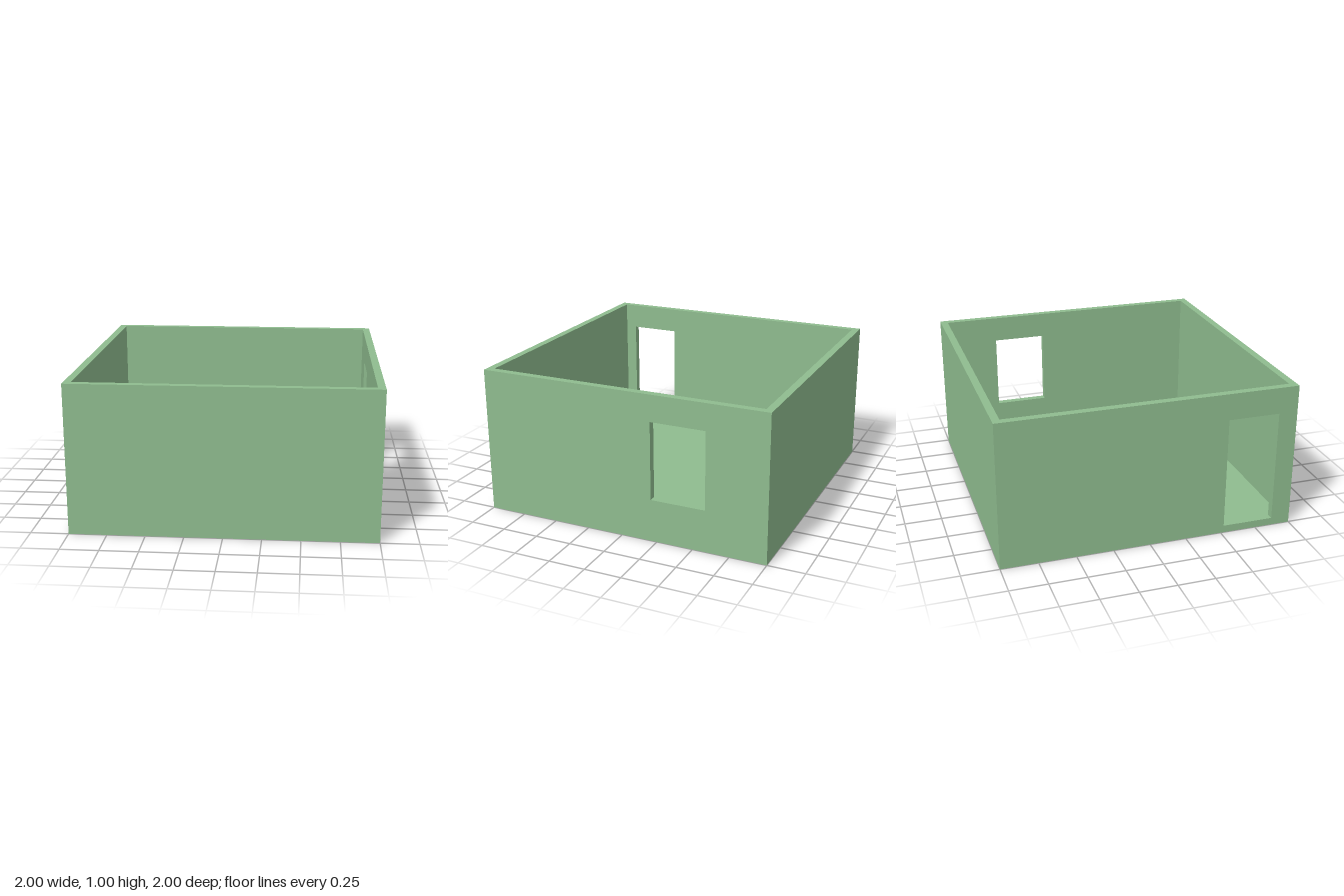
import * as THREE from 'three';

const SIZE = 2, HEIGHT = 1, WALL = 0.05, FLOOR = 0.05;
const INNER = SIZE - 2 * WALL;

// Rectangle outline, used for walls and for their openings
function trace(path, x0, x1, y0, y1) {
  path.moveTo(x0, y0);
  path.lineTo(x1, y0);
  path.lineTo(x1, y1);
  path.lineTo(x0, y1);
  path.closePath();
  return path;
}

// Side wall running along z, with one rectangular opening [z0, z1, y0, y1]
function sideWallGeometry(opening) {
  const shape = trace(new THREE.Shape(), -INNER / 2, INNER / 2, 0, HEIGHT);
  shape.holes.push(trace(new THREE.Path(), ...opening));
  const geometry = new THREE.ExtrudeGeometry(shape, { depth: WALL, bevelEnabled: false });
  geometry.rotateY(-Math.PI / 2);
  return geometry.translate(WALL / 2, 0, 0);
}

export function createModel() {
  const group = new THREE.Group();
  group.name = 'room';
  const green = new THREE.MeshStandardMaterial({ color: 0x8fbc8f });
  green.name = 'sageGreen';

  const add = (name, geometry, x, y, z) => {
    const mesh = new THREE.Mesh(geometry, green);
    mesh.name = name;
    mesh.position.set(x, y, z);
    group.add(mesh);
  };

  // Floor slab between the walls
  add('floor', new THREE.BoxGeometry(INNER, FLOOR, INNER), 0, FLOOR / 2, 0);

  // Plain front and back walls
  const offset = (SIZE - WALL) / 2;
  for (const [name, side] of [['frontWall', 1], ['backWall', -1]]) {
    add(name, new THREE.BoxGeometry(SIZE, HEIGHT, WALL), 0, HEIGHT / 2, side * offset);
  }

  // Side walls: a window on the left, a doorway on the right
  add('leftWallWithWindow', sideWallGeometry([-0.585, -0.21, 0.29, 0.82]), offset, 0, 0);
  add('rightWallWithDoorway', sideWallGeometry([0.52, 0.87, FLOOR, 0.82]), -offset, 0, 0);

  return group;
}
